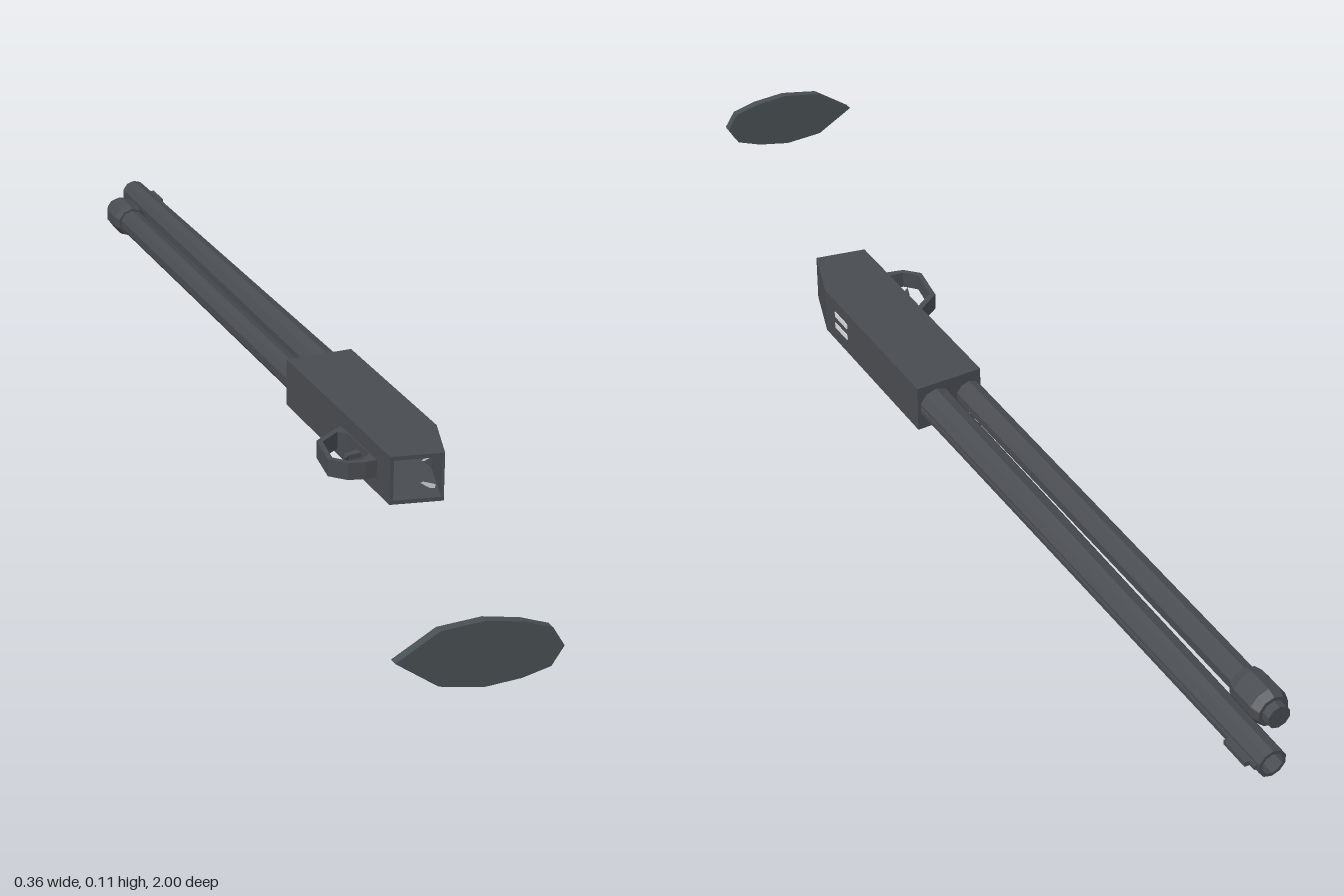
import * as THREE from 'three';

const mat = (name, color, extra = {}) => {
  const m = new THREE.MeshStandardMaterial({ color, flatShading: true, ...extra });
  m.name = name;
  return m;
};

export function createModel() {
  const group = new THREE.Group();
  const metal = mat('dark metal', 0x484b50, { side: THREE.DoubleSide });
  const pad = mat('dark rubber', 0x474e52);
  const light = mat('light inlay', 0xd8dadc, { side: THREE.DoubleSide });
  const cy = 0.057;

  const add = (name, geometry, material = metal, x = 0, y = 0, z = 0) => {
    const m = new THREE.Mesh(geometry, material);
    m.name = name;
    m.position.set(x, y, z);
    group.add(m);
    return m;
  };
  const shapeOf = pts => new THREE.Shape(pts.map(p => new THREE.Vector2(...p)));
  // Extrudes an x/z outline vertically between two heights
  const slab = (name, pts, y0, y1, hole) => {
    const s = shapeOf(pts);
    if (hole) s.holes.push(shapeOf(hole));
    const g = new THREE.ExtrudeGeometry(s, { depth: y1 - y0, bevelEnabled: false });
    g.rotateX(Math.PI / 2);
    return add(name, g, metal, 0, y1, 0);
  };
  // Tube along z from a profile of [radius, z]
  const turned = (name, pts, sides, x) => {
    const g = new THREE.LatheGeometry(pts.map(([r, z]) => new THREE.Vector2(r, z)), sides);
    g.rotateX(Math.PI / 2);
    return add(name, g, metal, x, cy, 0);
  };

  // Receiver: hollow body, open at the rear end
  const outline = [[0.055, 0], [0.175, 0], [0.175, 0.34], [0.142, 0.44], [0.055, 0.422]];
  slab('receiverTop', outline, 0.092, 0.099);
  slab('receiverBottom', outline, 0.015, 0.022);
  slab('receiverInnerWall', [[0.055, 0], [0.061, 0], [0.061, 0.423], [0.055, 0.422]], 0.022, 0.092);
  slab('receiverOuterWall', [[0.175, 0], [0.175, 0.34], [0.142, 0.44], [0.138, 0.438], [0.169, 0.338], [0.169, 0]], 0.022, 0.092);
  slab('receiverFrontWall', [[0.061, 0], [0.169, 0], [0.169, 0.008], [0.061, 0.008]], 0.022, 0.092);

  // Light marks on the side and inside the rear opening
  for (const y of [0.048, 0.071])
    add('sideMark', new THREE.BoxGeometry(0.003, 0.01, 0.045), light, 0.175, y, 0.28);
  for (const s of [1, -1]) {
    const g = new THREE.ShapeGeometry(shapeOf([
      [0.114, s * 0.019], [0.12, s * 0.018], [0.141, s * 0.026], [0.141, s * 0.033], [0.131, s * 0.031]]));
    add('innerMark', g, light, 0, cy, 0.41);
  }

  // Barrel with hollow muzzle, rib and bead
  turned('barrel', [[0.031, 0.005], [0.024, -1], [0.018, -1], [0.018, 0.005]], 10, 0.14);
  const rib = add('barrelRib', new THREE.BoxGeometry(0.006, 0.008, 0.99), metal, 0.167, cy, -0.5);
  rib.rotation.y = 0.005;
  add('frontSight', new THREE.BoxGeometry(0.012, 0.008, 0.055), metal, 0.17, cy, -0.955);

  // Magazine tube and its stepped cap
  turned('magazineTube', [[0.024, 0.005], [0.024, -0.86]], 10, 0.077);
  turned('magazineCap', [[0, -0.835], [0.028, -0.835], [0.032, -0.85], [0.032, -0.895], [0.027, -0.91],
    [0.02, -0.91], [0.02, -0.925], [0, -0.925]], 10, 0.077);

  // Trigger guard and trigger
  slab('triggerGuard',
    [[0.057, 0.23], [0.04, 0.238], [-0.005, 0.268], [-0.016, 0.34], [0.008, 0.365], [0.035, 0.372], [0.057, 0.372]],
    0.042, 0.072,
    [[0.057 - 0.004, 0.262], [0.04, 0.25], [0.003, 0.275], [-0.007, 0.336], [0.012, 0.357], [0.035, 0.36], [0.053, 0.345]]);
  slab('trigger', [[0.056, 0.3], [0.056, 0.315], [0.03, 0.318], [0.02, 0.326], [0.026, 0.308]], 0.053, 0.061);

  // Butt plate: leaf outline, slightly slanted
  const half = [[-0.12, 0.044], [-0.055, 0.053], [0, 0.045], [0.042, 0.031]];
  const leaf = [[-0.183, 0], ...half.map(([x, y]) => [x, -y]), [0.06, 0], ...half.slice().reverse()];
  const g = new THREE.ExtrudeGeometry(shapeOf(leaf), { depth: 0.014, bevelEnabled: false });
  const p = g.attributes.position;
  for (let i = 0; i < p.count; i++) p.setZ(i, p.getZ(i) + 0.943 + (p.getX(i) + 0.183) * 0.17);
  g.computeVertexNormals();
  add('buttPlate', g, pad, 0, cy, 0);

  return group;
}
